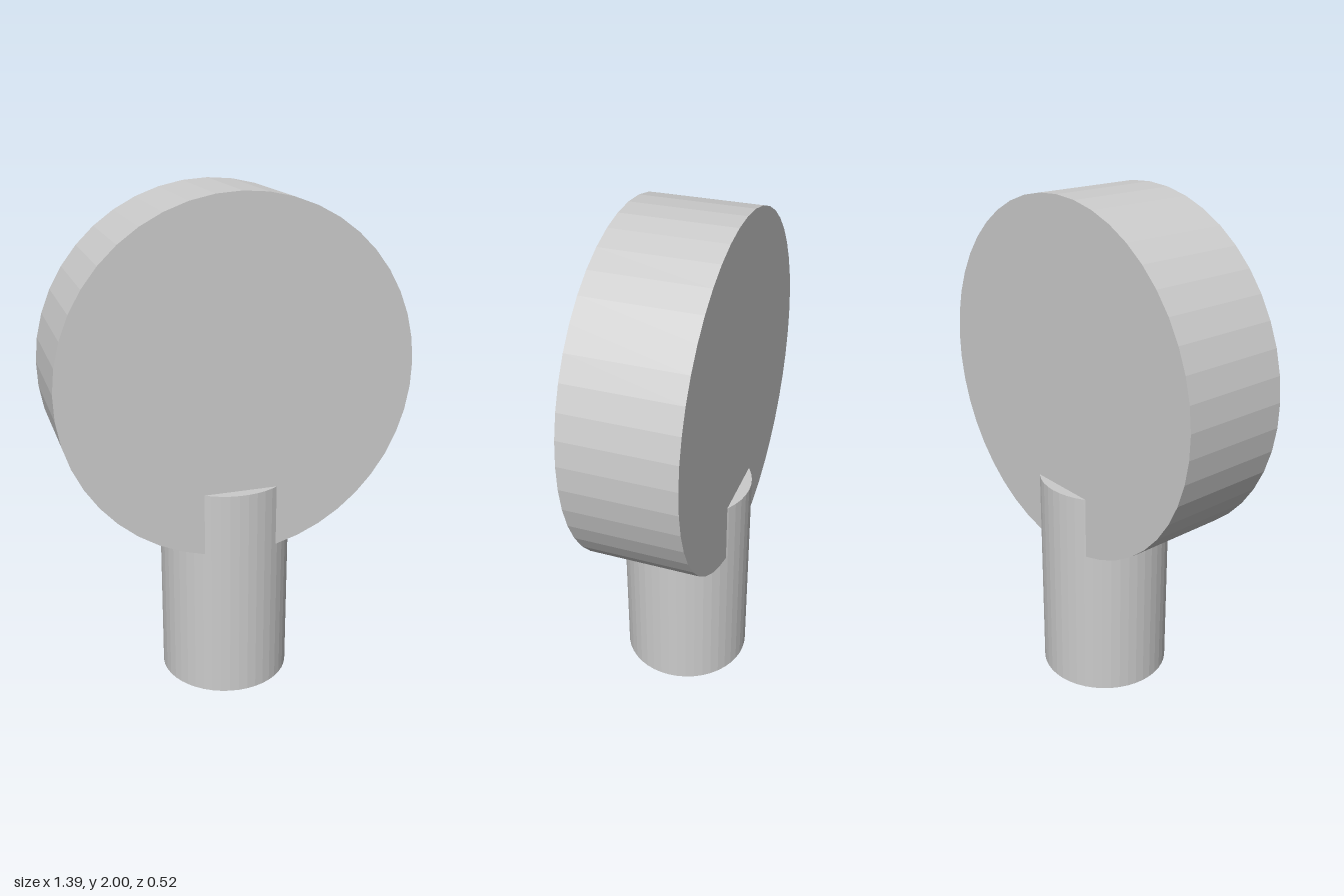
import * as THREE from 'three';

export function createModel() {
  const group = new THREE.Group();
  const material = new THREE.MeshStandardMaterial({ color: 0xcccccc, flatShading: true });
  const SIDES = 45;

  const addCylinder = (name, radius, length, y) => {
    const mesh = new THREE.Mesh(new THREE.CylinderGeometry(radius, radius, length, SIDES), material);
    mesh.name = name;
    mesh.position.y = y;
    group.add(mesh);
    return mesh;
  };

  // Upright post standing on the ground, its top end sunk into the disc
  const postHeight = 0.875;
  const post = addCylinder('post', 0.262, postHeight, postHeight / 2);
  post.rotation.y = Math.PI;

  // Thick round disc on edge, facing front and back
  const discRadius = 0.695;
  const disc = addCylinder('disc', discRadius, 0.434, 2 - discRadius);
  disc.rotation.x = -Math.PI / 2;

  return group;
}
